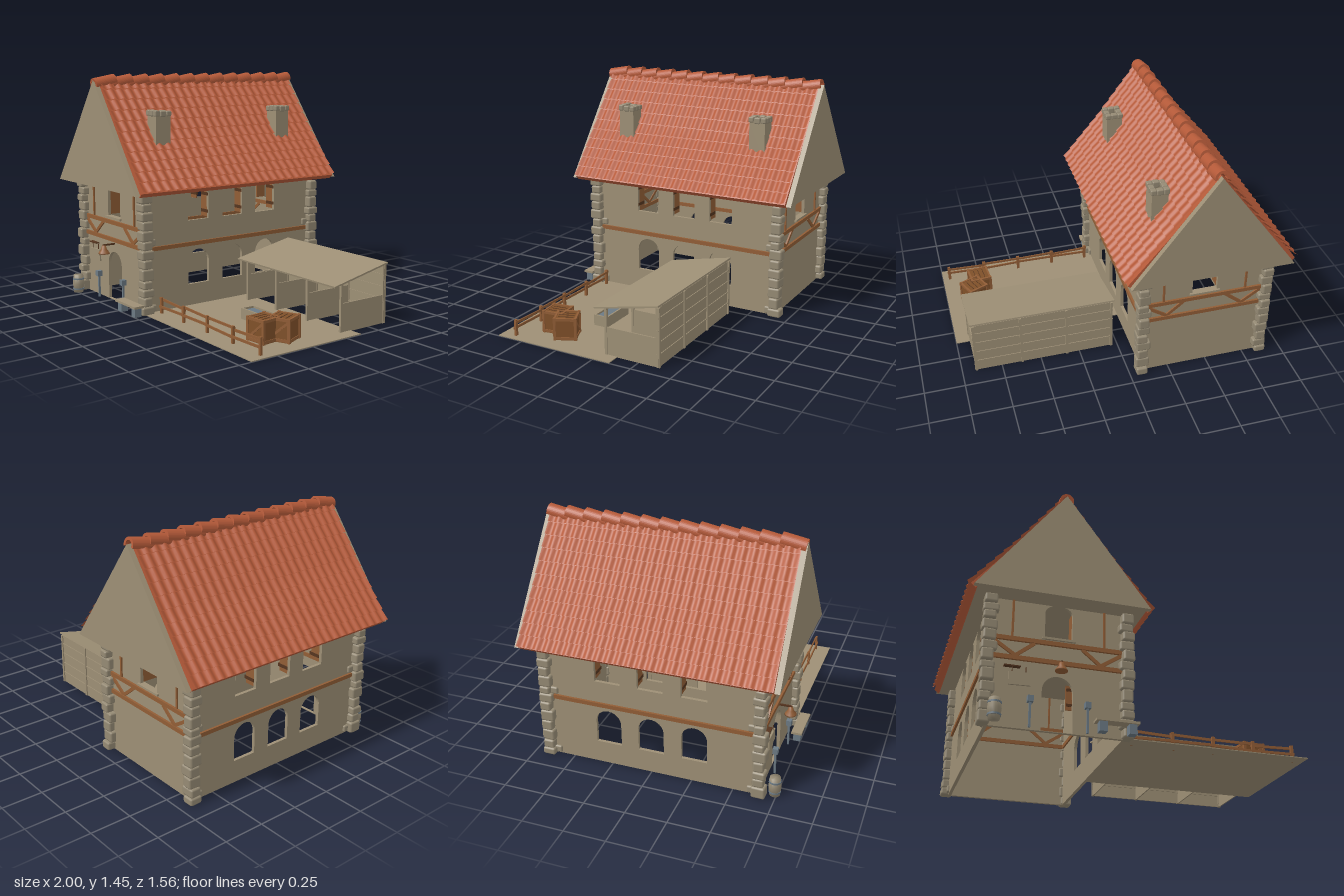
import * as THREE from 'three';
import { RoundedBoxGeometry } from 'three/addons/geometries/RoundedBoxGeometry.js';

const mat = (name, color, side = THREE.FrontSide) => {
  const m = new THREE.MeshStandardMaterial({ color, side });
  m.name = name;
  return m;
};

export function createModel() {
  const root = new THREE.Group();
  root.name = 'farmhouse';
  const plaster = mat('plaster', 0x9d8f75);
  const stone = mat('stone', 0x958a74);
  const tile = mat('roofTile', 0xb55a39, THREE.DoubleSide);
  const wood = mat('wood', 0x915d36);
  const crateWood = mat('crateWood', 0x7f5029);
  const darkWood = mat('darkWood', 0x55351f);
  const slate = mat('slate', 0x6c7a84);

  let seed = 7;
  const rnd = (a) => ((seed = (seed * 16807) % 2147483647) / 2147483647 - 0.5) * 2 * a;
  const add = (name, geo, m, x = 0, y = 0, z = 0, parent = root) => {
    const mesh = new THREE.Mesh(geo, m);
    mesh.name = name;
    mesh.position.set(x, y, z);
    parent.add(mesh);
    return mesh;
  };
  // box given by its min and max corners
  const box = (name, m, x0, x1, y0, y1, z0, z1, parent = root) =>
    add(name, new THREE.BoxGeometry(x1 - x0, y1 - y0, z1 - z0), m, (x0 + x1) / 2, (y0 + y1) / 2, (z0 + z1) / 2, parent);
  const group = (name, x = 0, y = 0, z = 0) => {
    const g = new THREE.Group();
    g.name = name;
    g.position.set(x, y, z);
    root.add(g);
    return g;
  };
  // slanted bar between two points in the xy plane
  const bar = (name, m, xa, ya, xb, yb, z, t, d, parent) => {
    const b = add(name, new THREE.BoxGeometry(Math.hypot(xb - xa, yb - ya), t, d), m, (xa + xb) / 2, (ya + yb) / 2, z, parent);
    b.rotation.z = Math.atan2(yb - ya, xb - xa);
    return b;
  };
  const extrude = (shape, depth) => new THREE.ExtrudeGeometry(shape, { depth, bevelEnabled: false, curveSegments: 10 });
  const poly = (pts) => new THREE.Shape(pts.map((p) => new THREE.Vector2(p[0], p[1])));

  // House walls with arched openings
  const CX = -0.465, HX = 0.385, HZ = 0.65, T = 0.02;
  const arch = (cx, y0, w, top, rise) => {
    const p = new THREE.Path();
    p.moveTo(cx - w / 2, y0).lineTo(cx + w / 2, y0).lineTo(cx + w / 2, top - rise);
    p.absellipse(cx, top - rise, w / 2, rise, 0, Math.PI, false, 0);
    p.closePath();
    return p;
  };
  const wall = (name, half, holes, x, z, ry) => {
    const s = poly([[-half, 0], [half, 0], [half, 0.765], [-half, 0.765]]);
    s.holes = holes;
    const geo = extrude(s, T);
    geo.translate(0, 0, -T);
    add(name, geo, plaster, x, 0, z).rotation.y = ry;
  };
  const upper = (c) => arch(c, 0.548, 0.157, 0.755, 0.05);
  const bays = [-0.265, 0, 0.265];
  const sideHoles = () => bays.flatMap((c) => [upper(c), arch(c, 0.14, 0.157, 0.36, 0.078)]);
  wall('frontWall', HX, [upper(0), arch(0, 0.003, 0.172, 0.32, 0.086)], CX, HZ, 0);
  wall('backWall', HX, [upper(0)], CX, -HZ, Math.PI);
  wall('rightSideWall', HZ, sideHoles(), CX + HX, 0, Math.PI / 2);
  wall('leftSideWall', HZ, sideHoles(), CX - HX, 0, -Math.PI / 2);

  // Shutters swung inward beside the upper windows
  for (const s of [-1, 1]) for (const c of bays) for (const e of [-1, 1]) {
    const x = CX + s * (HX - 0.05), z = c + e * 0.083;
    box('shutter', wood, x - 0.035, x + 0.035, 0.555, 0.73, z - 0.004, z + 0.004);
    for (const y of [0.58, 0.69]) box('shutterHinge', darkWood, x - 0.03, x + 0.045, y, y + 0.02, z - 0.007, z + 0.007);
  }
  for (const s of [-1, 1]) for (const e of [-1, 1]) {
    const x = CX + e * 0.084, z = s * (HZ - 0.055);
    box('shutter', wood, x - 0.004, x + 0.004, 0.555, 0.73, z - 0.035, z + 0.035);
  }

  // Timber framing: bands, braces and posts
  for (const s of [-1, 1]) {
    const g = group(s > 0 ? 'frontTimbers' : 'backTimbers', CX, 0, s * (HZ - 0.008));
    box('lowerBeam', wood, -0.39, 0.39, 0.388, 0.413, -0.022, 0.022, g);
    box('upperBeam', wood, -0.37, 0.37, 0.5, 0.525, -0.022, 0.022, g);
    box('windowSill', plaster, -0.095, 0.095, 0.535, 0.548, -0.022, 0.022, g);
    for (const e of [-1, 1]) {
      bar('brace', wood, e * 0.36, 0.495, e * 0.24, 0.415, 0, 0.02, 0.036, g);
      bar('brace', wood, e * 0.24, 0.415, e * 0.135, 0.5, 0, 0.02, 0.036, g);
      box('post', wood, e * 0.26 - 0.006, e * 0.26 + 0.006, 0.525, 0.75, -0.018, 0.018, g);
    }
    const x = CX + s * (HX - 0.008);
    box('sideBeam', wood, x - 0.022, x + 0.022, 0.388, 0.413, -HZ, HZ);
  }

  // Rough corner stones
  for (const sx of [-1, 1]) for (const sz of [-1, 1]) {
    const g = group('cornerStones', CX + sx * 0.392, 0, sz * 0.655);
    let y = 0;
    for (let i = 0; y < 0.72; i++) {
      const h = Math.min(0.06 + rnd(0.014), 0.755 - y), long = i % 2 ? 0.016 : 0;
      const st = add('stone', new RoundedBoxGeometry(0.068 + long + rnd(0.006), h, 0.082 - long + rnd(0.006), 1, 0.012), stone,
        -sx * long * 0.4 + rnd(0.004), y + h / 2, rnd(0.004), g);
      st.rotation.y = rnd(0.08);
      y += h;
    }
    for (const yy of [0.008, 0.418])
      add('longStone', new RoundedBoxGeometry(0.03, 0.045, 0.05, 1, 0.01), stone, -sx * 0.008, yy + 0.022, -sz * 0.048, g);
  }

  // Gables and soffit closing the attic
  for (const z of [-0.78, 0.745])
    add('gable', extrude(poly([[-0.5, 0.75], [0.5, 0.75], [0, 1.415]]), 0.035), plaster, CX, 0, z);
  box('soffit', plaster, CX - 0.49, CX + 0.49, 0.75, 0.757, -0.75, 0.75);

  // Roof: overlapping rows of wavy tiles on a thick deck, flaring slightly at the eaves
  const prof = [[0, 1.415], [0.26, 1.07], [0.515, 0.765]];
  const N = [0.78, 0.626];
  const at = (t) => {
    const i = t < 0.5 ? 0 : 1, f = t * 2 - i;
    return [0, 1].map((k) => prof[i][k] + (prof[i + 1][k] - prof[i][k]) * f);
  };
  const ROWS = 11, COLS = 24 * 6, LEN = 0.748;
  const tileRow = (s, r) => {
    const pos = [], idx = [];
    for (let j = 0; j < 3; j++) for (let c = 0; c <= COLS; c++) {
      const p = at(Math.min((r + j / 2) / ROWS, 1));
      const off = 0.002 + j * 0.005 + 0.0065 * (1 + Math.cos((c / 6) * Math.PI * 2));
      pos.push(CX + s * (p[0] + N[0] * off), p[1] + N[1] * off, -LEN + (2 * LEN * c) / COLS);
    }
    for (let j = 0; j < 2; j++) for (let c = 0; c < COLS; c++) {
      const a = j * (COLS + 1) + c, b = a + 1, d = a + COLS + 1, e = d + 1;
      if (s > 0) idx.push(a, b, d, b, e, d);
      else idx.push(a, d, b, b, d, e);
    }
    const g = new THREE.BufferGeometry();
    g.setAttribute('position', new THREE.Float32BufferAttribute(pos, 3));
    g.setIndex(idx);
    g.computeVertexNormals();
    return g;
  };
  for (const s of [-1, 1]) {
    for (let r = 0; r < ROWS; r++) add('roofTileRow', tileRow(s, r), tile);
    const under = [...prof].reverse().map((p) => [p[0] - N[0] * 0.035, p[1] - N[1] * 0.04]);
    under[2] = [0, 1.36];
    add('roofDeck', extrude(poly([...prof, ...under].map((p) => [p[0] * s, p[1]])), 2 * LEN), tile, CX, 0, -LEN);
  }

  // Ridge tiles
  const ring = new THREE.Shape();
  ring.absarc(0, 0, 0.042, -0.3, Math.PI + 0.3, false);
  ring.absarc(0, 0, 0.026, Math.PI + 0.3, -0.3, true);
  const ridgeGeo = extrude(ring, 0.145).translate(0, 0, -0.0725);
  for (let i = 0; i < 13; i++)
    add('ridgeTile', ridgeGeo, tile, CX, 1.398, -0.695 + i * 0.1165).rotation.x = 0.18;

  // Chimneys with stone rims
  for (const z of [-0.47, 0.47]) {
    const g = group('chimney', -0.203, 0, z);
    const s = poly([[-0.05, -0.052], [0.05, -0.052], [0.05, 0.052], [-0.05, 0.052]]);
    s.holes.push(poly([[-0.028, -0.028], [-0.028, 0.028], [0.028, 0.028], [0.028, -0.028]]));
    add('shaft', extrude(s, 0.25).rotateX(-Math.PI / 2), plaster, 0, 0.96, 0, g);
    for (let i = -1; i <= 1; i++) for (let k = -1; k <= 1; k++) if (i || k)
      add('rimStone', new RoundedBoxGeometry(i ? 0.036 : 0.042, 0.036 + rnd(0.004), k ? 0.036 : 0.042, 1, 0.008), stone,
        i * 0.039, 1.215 + rnd(0.003), k * 0.041, g);
  }

  // Front details: bell, sign, lamp posts, barrel and bench
  const bell = [[0, 0.055], [0.012, 0.052], [0.018, 0.03], [0.034, 0.008], [0.036, 0], [0, 0.004]].map((p) => new THREE.Vector2(...p)).reverse();
  add('bell', new THREE.LatheGeometry(bell, 12), wood, CX, 0.32, 0.728);
  box('bellArm', darkWood, CX - 0.005, CX + 0.005, 0.37, 0.38, HZ, 0.735);
  box('signBoard', plaster, -0.74, -0.62, 0.235, 0.31, 0.668, 0.678).rotation.z = 0.03;
  box('signBracket', darkWood, -0.765, -0.675, 0.342, 0.349, HZ, 0.675);
  for (const x of [-0.72, -0.645]) box('signHook', darkWood, x - 0.002, x + 0.002, 0.3, 0.345, 0.67, 0.674);
  for (const x of [-0.62, -0.305]) {
    box('lampPost', slate, x - 0.006, x + 0.006, 0, 0.145, 0.679, 0.691);
    box('lampHead', slate, x - 0.016, x + 0.016, 0.14, 0.175, 0.67, 0.702);
  }
  const stave = [[0, 0], [0.031, 0], [0.038, 0.06], [0.031, 0.118], [0, 0.114]].map((p) => new THREE.Vector2(...p));
  add('barrel', new THREE.LatheGeometry(stave, 14), stone, -0.815, 0, 0.738);
  for (const y of [0.025, 0.092])
    add('barrelHoop', new THREE.CylinderGeometry(0.037, 0.037, 0.01, 14), slate, -0.815, y, 0.738);
  box('benchSeat', plaster, -0.275, -0.035, 0.056, 0.07, 0.695, 0.76);
  for (const x of [-0.235, -0.07]) box('benchLeg', slate, x - 0.022, x + 0.022, 0, 0.056, 0.705, 0.75);

  // Yard and shed
  box('yard', plaster, CX + HX, 1, 0, 0.005, -0.11, 0.67);
  const shed = group('shed');
  const shedRoof = add('shedRoof', new THREE.BoxGeometry(0.91, 0.01, 0.425), plaster, 0.475, 0.322, -0.178, shed);
  shedRoof.rotation.x = Math.atan2(0.085, 0.415);
  box('shedBackWall', plaster, 0.03, 0.92, 0, 0.352, -0.38, -0.372, shed);
  for (let i = 1; i < 5; i++) box('boardSeam', plaster, 0.03, 0.92, i * 0.072, i * 0.072 + 0.007, -0.385, -0.367, shed);
  for (const x of [0.04, 0.33, 0.62, 0.91]) {
    box('frontPost', plaster, x - 0.008, x + 0.008, 0, 0.285, -0.046, -0.03, shed);
    box('backPost', plaster, x - 0.008, x + 0.008, 0, 0.352, -0.388, -0.364, shed);
    box('stallPartition', plaster, x - 0.004, x + 0.004, 0, 0.172, -0.37, -0.045, shed);
  }

  // Water trough
  for (const z of [0.16, 0.245]) box('troughSide', plaster, 0.355, 0.6, 0, 0.072, z, z + 0.01);
  for (const x of [0.355, 0.59]) box('troughEnd', plaster, x, x + 0.01, 0, 0.072, 0.17, 0.245);
  box('water', slate, 0.365, 0.59, 0.005, 0.06, 0.17, 0.245);

  // Crates with edge battens
  for (const [x, z, ry] of [[0.815, 0.302, 0.42], [0.763, 0.403, 0.1]]) {
    const g = group('crate', x, 0, z);
    g.rotation.y = ry;
    box('crateBody', crateWood, -0.064, 0.064, 0.004, 0.138, -0.064, 0.064, g);
    for (const a of [-1, 1]) for (const b of [-1, 1]) {
      box('crateCorner', wood, a * 0.062 - 0.008, a * 0.062 + 0.008, 0.004, 0.144, b * 0.062 - 0.008, b * 0.062 + 0.008, g);
      box('crateRail', wood, -0.062, 0.062, 0.068 + a * 0.058, 0.084 + a * 0.058, b * 0.062 - 0.006, b * 0.062 + 0.006, g);
      box('crateRail', wood, b * 0.062 - 0.006, b * 0.062 + 0.006, 0.068 + a * 0.058, 0.084 + a * 0.058, -0.062, 0.062, g);
    }
    for (const s of [-0.03, 0, 0.03]) box('lidGap', darkWood, s - 0.002, s + 0.002, 0.137, 0.14, -0.045, 0.045, g);
    for (const b of [-1, 1]) bar('crateBrace', wood, -0.055, 0.025, 0.055, 0.12, b * 0.064, 0.014, 0.008, g);
  }

  // Fence
  const fence = group('fence', 0, 0, 0.575);
  for (let i = 0; i < 5; i++) {
    const x = -0.028 + i * 0.245;
    box('fencePost', wood, x - 0.009, x + 0.009, 0, 0.105, -0.007, 0.007, fence);
    if (i < 4) for (const [k, y] of [0.088, 0.05].entries())
      bar('fenceRail', wood, x - 0.012, y + rnd(0.008), x + 0.257, y + rnd(0.008), k ? 0.007 : -0.007, 0.015, 0.007, fence);
  }
  return root;
}
